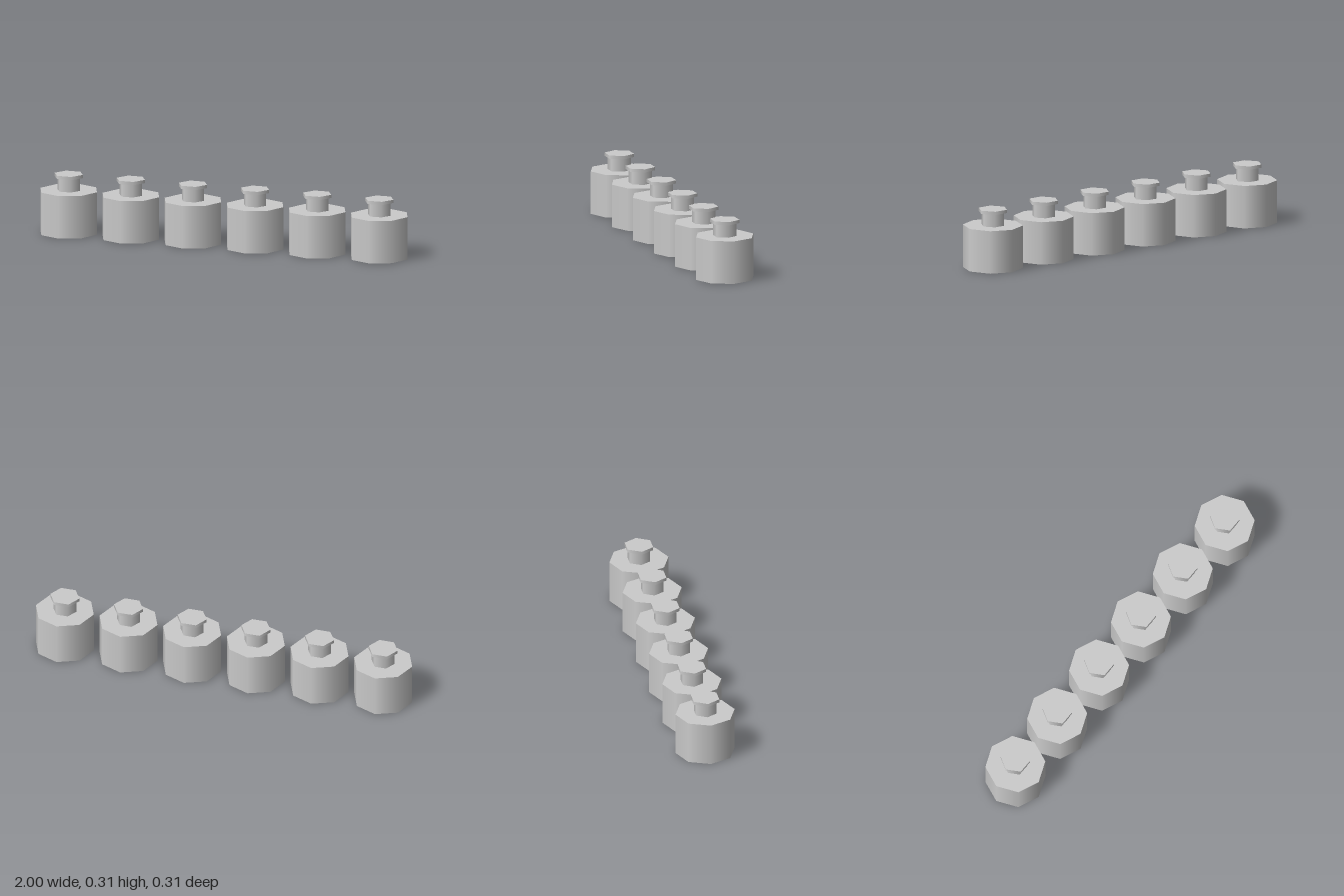
import * as THREE from 'three';

const COUNT = 6;
const SPACING = 0.3384;

export function createModel() {
  const model = new THREE.Group();
  model.name = 'bottleRow';
  // Double sided, since the bodies are hollow and open underneath
  const material = new THREE.MeshStandardMaterial({ color: 0xcccccc, side: THREE.DoubleSide });

  // Upright prism with smooth sides and a corner on the x axis
  const prism = (radius, y0, y1, sides, open) =>
    new THREE.CylinderGeometry(radius, radius, y1 - y0, sides, 1, open, Math.PI / 2)
      .translate(0, (y0 + y1) / 2, 0);

  const parts = {
    body: prism(0.154, 0, 0.222, 8, true),
    shoulder: new THREE.CircleGeometry(0.154, 8).rotateX(-Math.PI / 2).translate(0, 0.222, 0),
    neck: prism(0.061, 0.222, 0.29, 6, true),
    lip: prism(0.077, 0.29, 0.307, 6, false),
  };

  // Six identical bottles side by side
  for (let i = 0; i < COUNT; i++) {
    const bottle = new THREE.Group();
    bottle.name = `bottle${i + 1}`;
    bottle.position.x = (i - (COUNT - 1) / 2) * SPACING;
    for (const [name, geometry] of Object.entries(parts)) {
      const mesh = new THREE.Mesh(geometry, material);
      mesh.name = name;
      bottle.add(mesh);
    }
    model.add(bottle);
  }
  return model;
}
